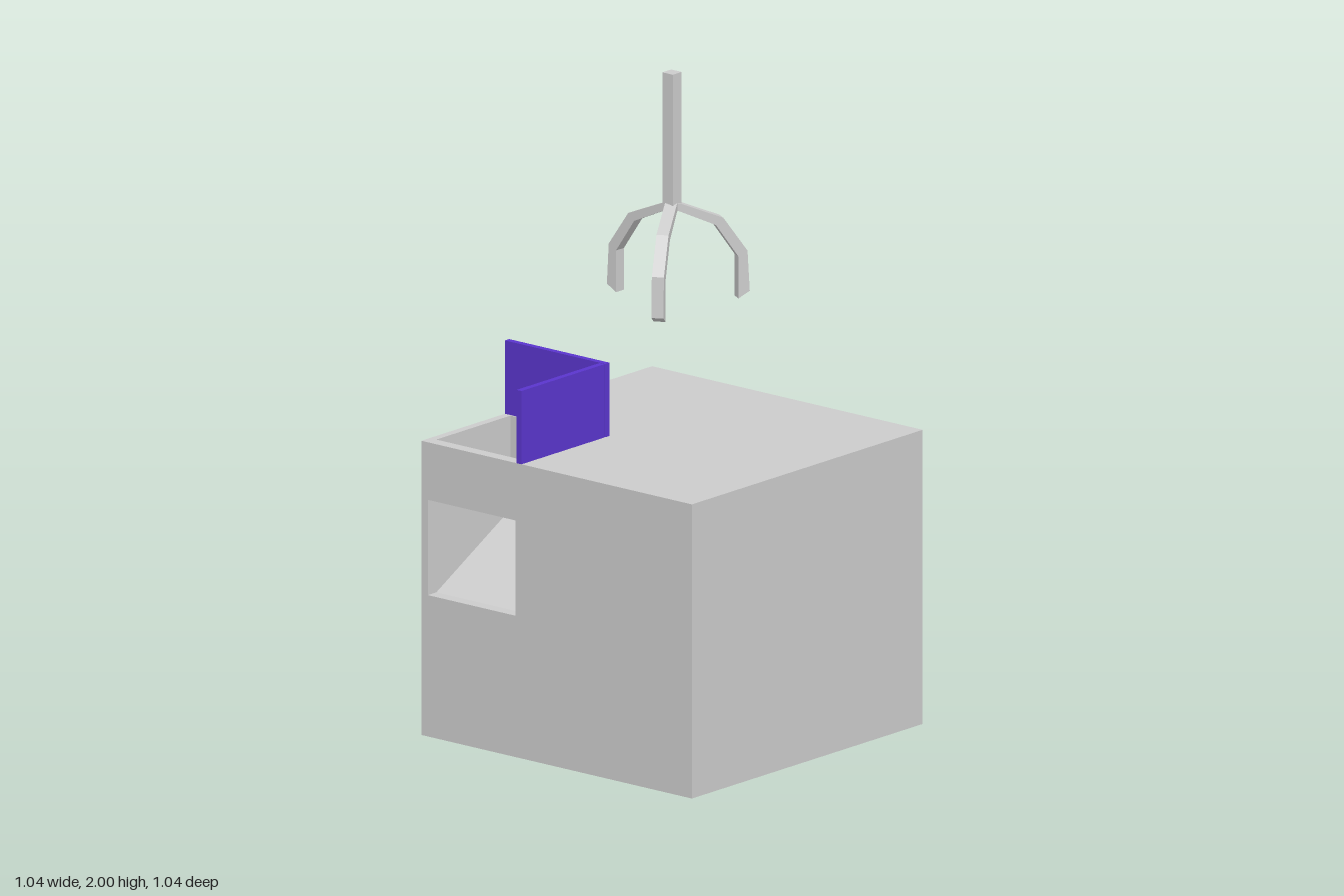
import * as THREE from 'three';
import { mergeGeometries } from 'three/addons/utils/BufferGeometryUtils.js';

const grey = new THREE.MeshStandardMaterial({ color: 0xcccccc, flatShading: true });
const purple = new THREE.MeshStandardMaterial({ color: 0x5a35cc, flatShading: true });

// Cabinet half width and height; prize shaft sides; hatch sill, hatch top and ramp top
const S = 0.52, H = 0.895;
const L = -0.495, R = -0.158, B = 0.148, F = 0.482;
const SILL = 0.43, TOP = 0.72, RAMP = 0.61;

function add(group, name, geometry, material = grey) {
  const mesh = new THREE.Mesh(geometry, material);
  mesh.name = name;
  group.add(mesh);
  return mesh;
}

// Flat four-cornered face, corners counter-clockwise
function quad(...corners) {
  const g = new THREE.BufferGeometry();
  const points = [0, 1, 2, 0, 2, 3].flatMap((i) => corners[i]);
  g.setAttribute('position', new THREE.Float32BufferAttribute(points, 3));
  g.computeVertexNormals();
  return g;
}

// Rectangle with a rectangular hole, both given as [x0, y0, x1, y1]
function holedPanel(outer, hole) {
  const points = ([x0, y0, x1, y1]) =>
    [[x0, y0], [x1, y0], [x1, y1], [x0, y1]].map((p) => new THREE.Vector2(...p));
  const shape = new THREE.Shape(points(outer));
  shape.holes.push(new THREE.Path(points(hole)));
  return new THREE.ShapeGeometry(shape);
}

function box(x0, x1, y0, y1, z0, z1) {
  return new THREE.BoxGeometry(x1 - x0, y1 - y0, z1 - z0)
    .translate((x0 + x1) / 2, (y0 + y1) / 2, (z0 + z1) / 2);
}

function makeCabinet() {
  const cabinet = new THREE.Group();
  cabinet.name = 'cabinet';

  add(cabinet, 'frontPanel', holedPanel([-S, 0, S, H], [L, SILL, R, TOP]).translate(0, 0, S));
  add(cabinet, 'topPanel',
    holedPanel([-S, -S, S, S], [L, -F, R, -B]).rotateX(-Math.PI / 2).translate(0, H, 0));
  add(cabinet, 'outerSides', mergeGeometries([
    quad([S, 0, -S], [-S, 0, -S], [-S, H, -S], [S, H, -S]),
    quad([S, 0, S], [S, 0, -S], [S, H, -S], [S, H, S]),
    quad([-S, 0, -S], [-S, 0, S], [-S, H, S], [-S, H, -S]),
    quad([-S, 0, -S], [S, 0, -S], [S, 0, S], [-S, 0, S]),
  ]));

  // Shaft below the top hole, with a ramp sloping down to the hatch
  add(cabinet, 'shaftWalls', mergeGeometries([
    quad([L, SILL, F], [L, RAMP, B], [L, H, B], [L, H, F]),
    quad([R, RAMP, B], [R, SILL, F], [R, H, F], [R, H, B]),
    quad([L, RAMP, B], [R, RAMP, B], [R, H, B], [L, H, B]),
    quad([R, TOP, F], [L, TOP, F], [L, H, F], [R, H, F]),
  ]));
  add(cabinet, 'ramp', quad([L, SILL, F], [R, SILL, F], [R, RAMP, B], [L, RAMP, B]));
  add(cabinet, 'hatchFrame', mergeGeometries([
    quad([L, SILL, S], [L, SILL, F], [L, TOP, F], [L, TOP, S]),
    quad([R, SILL, F], [R, SILL, S], [R, TOP, S], [R, TOP, F]),
    quad([L, SILL, S], [R, SILL, S], [R, SILL, F], [L, SILL, F]),
    quad([L, TOP, F], [R, TOP, F], [R, TOP, S], [L, TOP, S]),
  ]));
  return cabinet;
}

function makeClaw() {
  const claw = new THREE.Group();
  claw.name = 'claw';
  add(claw, 'rod', box(-0.02, 0.02, 1.595, 2, -0.02, 0.02));

  // Bent finger profile: distance from the rod axis, height
  const profile = [
    [0, 1.607], [0.02, 1.603], [0.153, 1.547], [0.228, 1.44], [0.235, 1.317],
    [0.2, 1.297], [0.2, 1.424], [0.13, 1.527], [0.02, 1.578], [0, 1.586],
  ].map((p) => new THREE.Vector2(...p));
  const width = 0.036;
  const finger = new THREE.ExtrudeGeometry(new THREE.Shape(profile), { depth: width, bevelEnabled: false })
    .translate(0, 0, -width / 2);
  for (let i = 0; i < 3; i++) {
    add(claw, `finger${i + 1}`, finger).rotation.y = Math.PI / 3 + (i * Math.PI * 2) / 3;
  }
  return claw;
}

export function createModel() {
  const model = new THREE.Group();
  model.name = 'clawMachine';
  model.add(makeCabinet(), makeClaw());

  // Guard panels around the prize shaft
  add(model, 'rearGuard', box(-S, -0.135, H, 1.118, 0.124, 0.143), purple);
  add(model, 'sideGuard', box(-0.154, -0.135, H, 1.118, 0.146, S), purple);
  return model;
}
